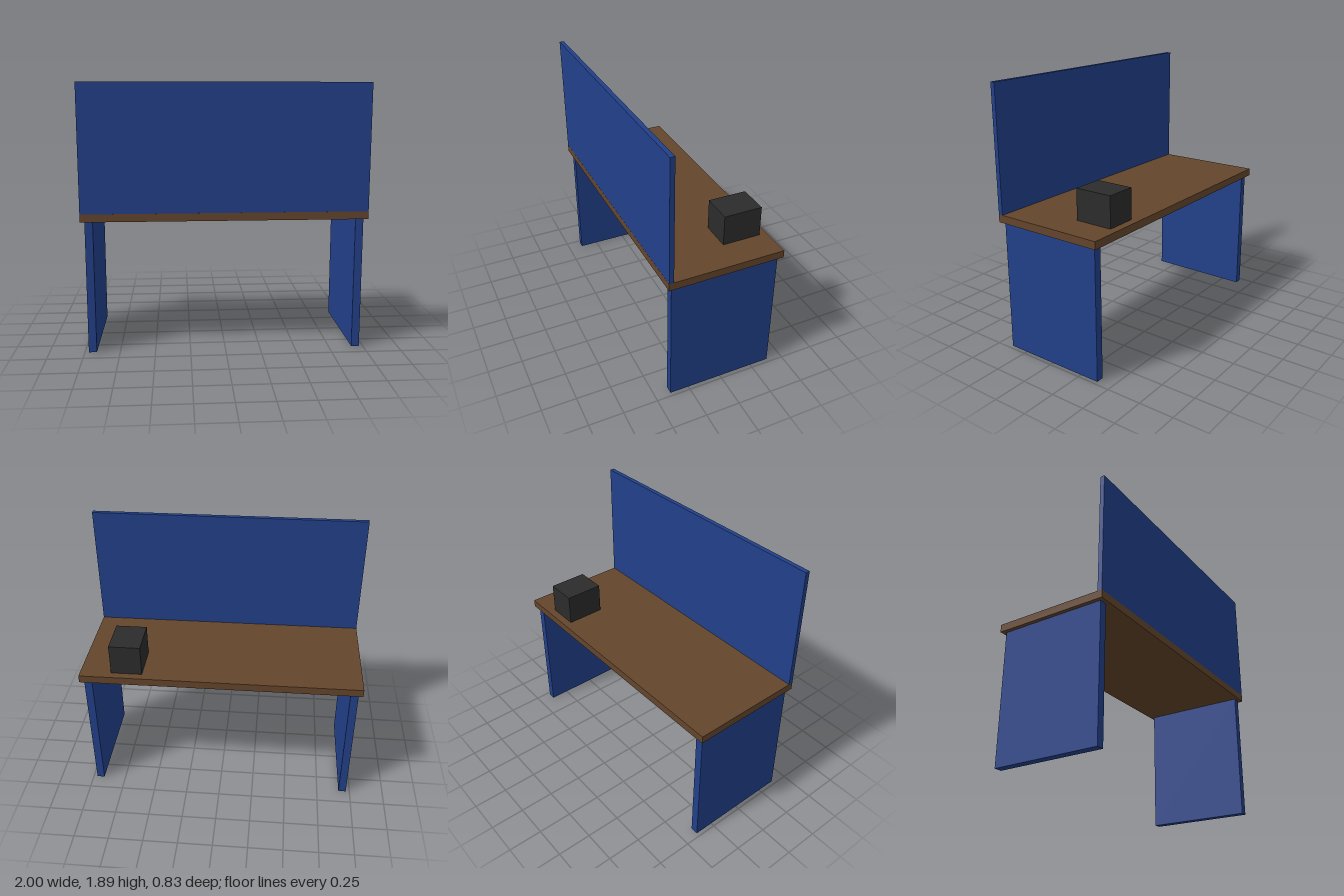
import * as THREE from 'three';

export function createModel() {
  const model = new THREE.Group();
  model.name = 'desk';

  const material = (name, color) => {
    const m = new THREE.MeshStandardMaterial({ color });
    m.name = name;
    return m;
  };
  const blue = material('blue panel', 0x22408a);
  const brown = material('brown wood', 0x64452b);
  const black = material('dark grey', 0x2c2c2c);

  // Box given by its centre in x and z, its underside and its size
  const addBox = (name, mat, [w, h, d], x, bottom, z) => {
    const mesh = new THREE.Mesh(new THREE.BoxGeometry(w, h, d), mat);
    mesh.name = name;
    mesh.position.set(x, bottom + h / 2, z);
    model.add(mesh);
  };

  // Worktop
  addBox('worktop', brown, [2, 0.055, 0.834], 0, 0.945, 0);

  // Panel legs at both ends
  for (const [name, side] of [['leftLeg', 1], ['rightLeg', -1]]) {
    addBox(name, blue, [0.056, 0.945, 0.778], side * 0.944, 0, 0);
  }

  // Privacy screen along the front edge
  addBox('privacyScreen', blue, [2, 0.89, 0.033], 0, 1, 0.4);

  // Small box standing on the worktop
  addBox('desktopBox', black, [0.222, 0.222, 0.278], 0.667, 1, -0.222);

  return model;
}
